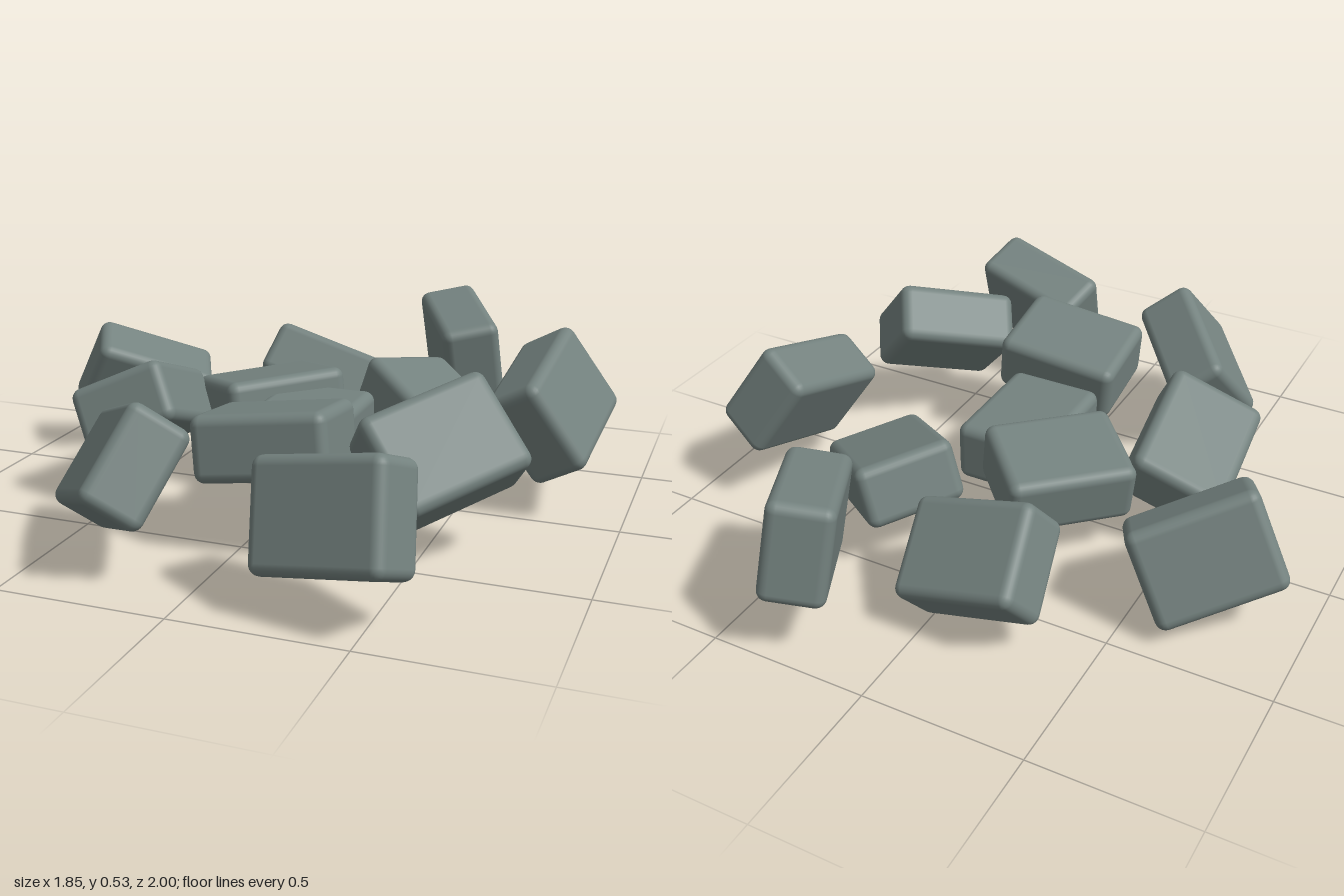
import * as THREE from 'three';
import { RoundedBoxGeometry } from 'three/addons/geometries/RoundedBoxGeometry.js';

// Scattered rubble: one rounded stone block, repeated with different tilts
export function createModel() {
  const group = new THREE.Group();
  group.name = 'stoneRubble';
  const stone = new THREE.MeshStandardMaterial({ color: 0x74827f });
  stone.name = 'grey green stone';
  const block = new RoundedBoxGeometry(0.4, 0.195, 0.31, 3, 0.032);

  // x, y, z of the centre, then yaw, pitch of the long side and roll in degrees
  const blocks = [
    // back row
    [0.315, 0.31, -0.77, 118, 10, 80],
    [-0.12, 0.205, -0.563, -1.5, -16, -38],
    [-0.686, 0.215, -0.25, 34, -20, -68],
    [0.325, 0.21, -0.3, -41, -18, -8],
    [0.75, 0.31, -0.186, 84, 17, 59],
    // middle
    [-0.15, 0.245, -0.118, 45, 2, -9],
    [0.045, 0.215, 0.065, 90, 0, 0],
    [-0.473, 0.263, 0.151, -87, 19, 25],
    // front row
    [0.079, 0.307, 0.434, 3.5, 7, -8],
    [0.545, 0.31, 0.382, 45, 15, 47],
    [-0.283, 0.262, 0.68, -48, 19, 53],
    [0.39, 0.262, 0.823, -11, 11, 69],
  ];
  const rad = THREE.MathUtils.degToRad;
  blocks.forEach(([x, y, z, yaw, pitch, roll], i) => {
    const mesh = new THREE.Mesh(block, stone);
    mesh.name = `stoneBlock${i + 1}`;
    mesh.position.set(x, y, z);
    mesh.rotation.set(rad(roll), rad(yaw), rad(pitch), 'YZX');
    group.add(mesh);
  });
  return group;
}
